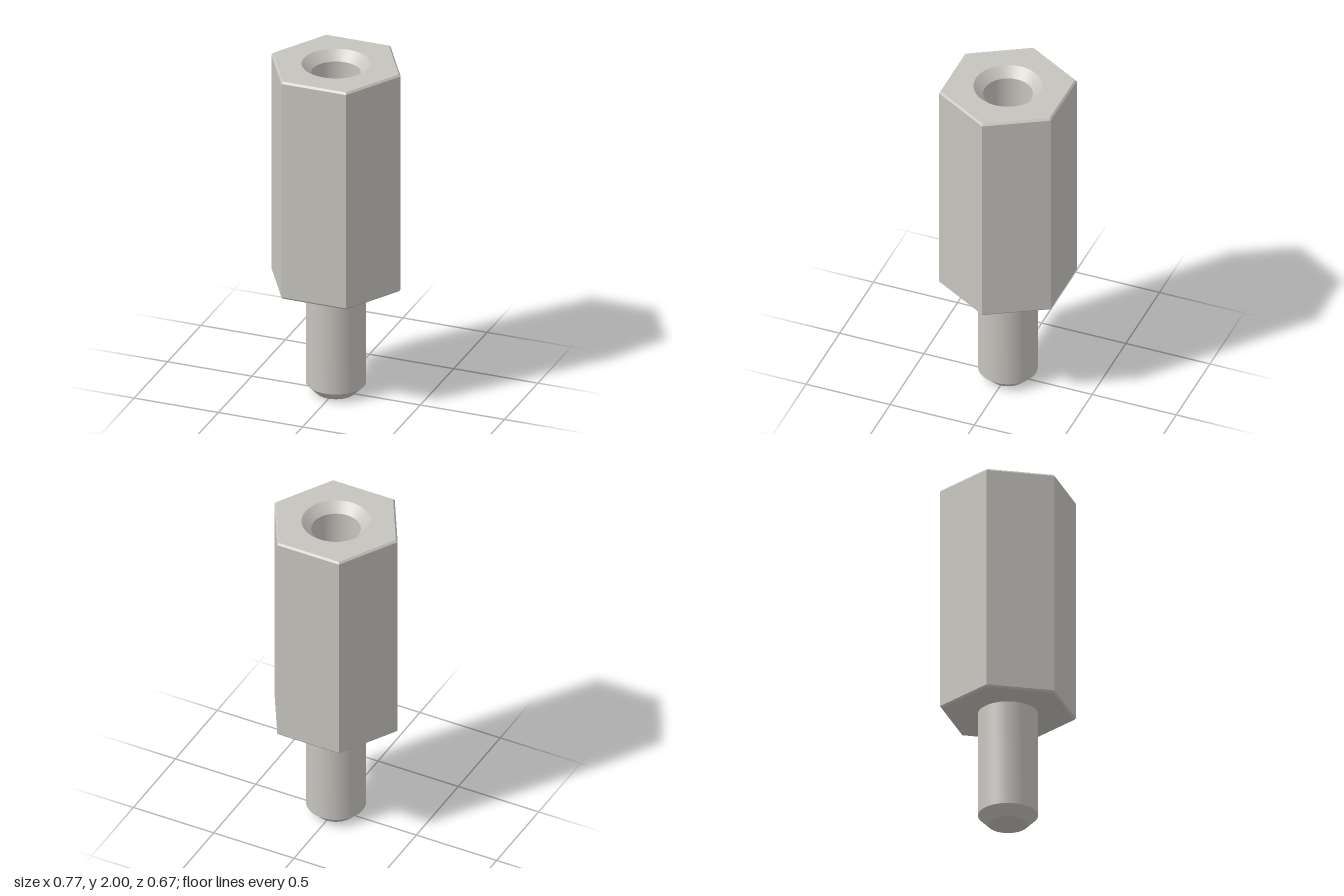
import * as THREE from 'three';
import { toCreasedNormals } from 'three/addons/utils/BufferGeometryUtils.js';

export function createModel() {
  const model = new THREE.Group();
  model.name = 'hexStandoff';
  const metal = new THREE.MeshStandardMaterial({ color: 0xc6c4be });
  metal.name = 'metal';

  const hexR = 0.384, bottom = 0.673, top = 2, bevel = 0.011;
  const mouthR = 0.19, boreR = 0.137, boreDepth = 0.8, studR = 0.166;
  const segments = 64;

  const add = (name, geometry, parent) => {
    const mesh = new THREE.Mesh(geometry, metal);
    mesh.name = name;
    parent.add(mesh);
  };
  // Revolved profile with crisp edges; the start angle puts hexagon corners on +-x
  const revolve = (profile, sides) => toCreasedNormals(
    new THREE.LatheGeometry(profile.map(([r, y]) => new THREE.Vector2(r, y)), sides, Math.PI / 2), 0.4);

  const body = new THREE.Group();
  body.name = 'hexBody';
  model.add(body);

  // Six-sided walls with bevelled rims and the underside
  add('hexWalls', revolve([
    [0, bottom], [hexR - bevel, bottom], [hexR, bottom + bevel],
    [hexR, top - bevel], [hexR - bevel, top],
  ], 6), body);

  // Top face with the round opening
  const face = new THREE.Shape();
  for (let i = 0; i < 6; i++) {
    const a = i * Math.PI / 3, r = hexR - bevel;
    face[i ? 'lineTo' : 'moveTo'](r * Math.cos(a), r * Math.sin(a));
  }
  face.closePath();
  face.holes.push(new THREE.Path().absarc(0, 0, mouthR, 0, Math.PI * 2, true));
  add('topFace', new THREE.ShapeGeometry(face, segments / 2).rotateX(-Math.PI / 2).translate(0, top, 0), body);

  // Countersunk blind bore, profiled downwards so it faces inwards
  add('bore', revolve([
    [mouthR, top], [boreR, top - (mouthR - boreR)], [boreR, top - boreDepth], [0, top - boreDepth],
  ], segments), body);

  // Stud with a chamfered tip
  add('stud', revolve([
    [0, 0], [0.111, 0], [studR, 0.055], [studR, bottom],
  ], segments), model);

  return model;
}
